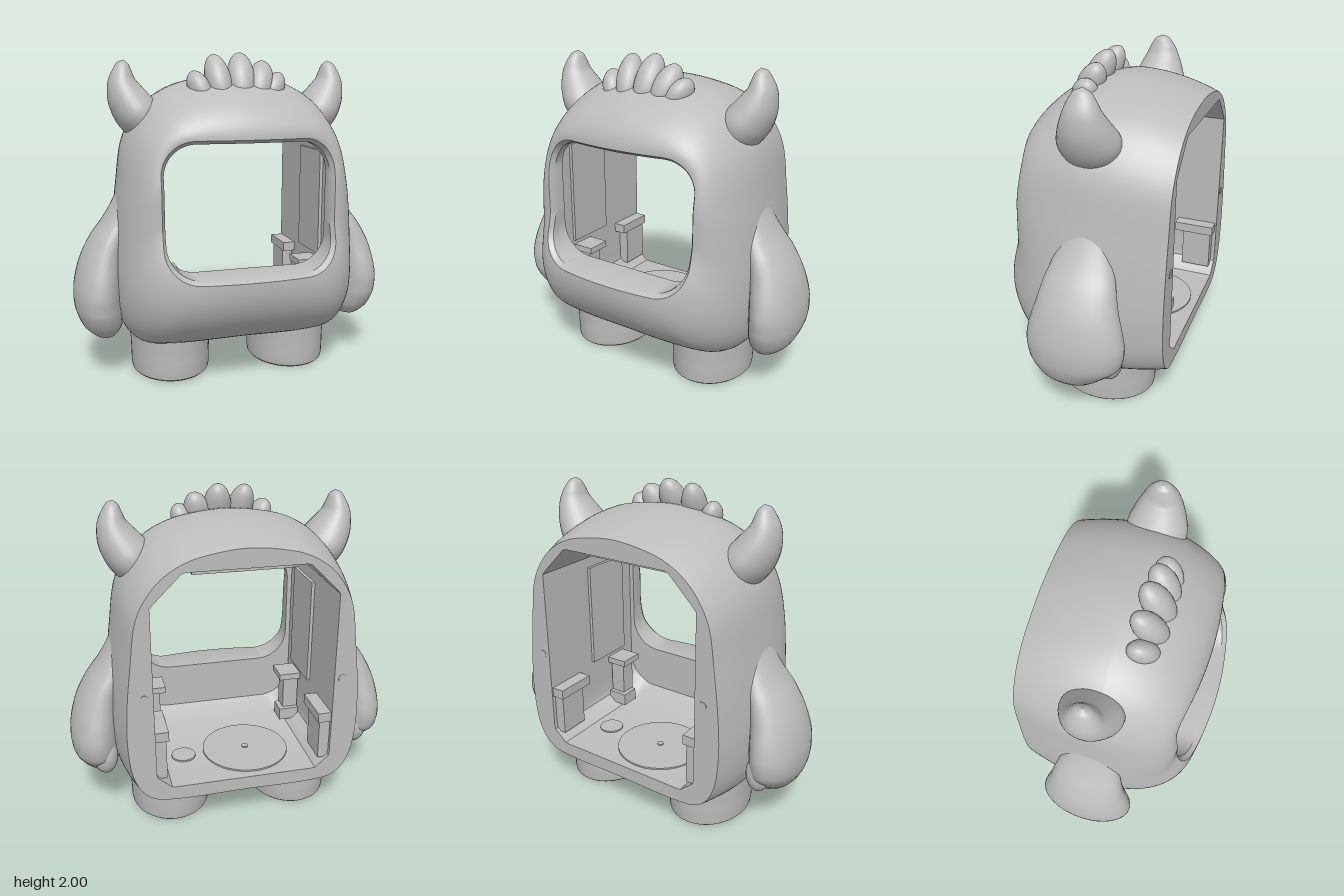
import * as THREE from 'three';
import { toCreasedNormals } from 'three/addons/utils/BufferGeometryUtils.js';

const N = 160;
const V = (x, y, z = 0) => new THREE.Vector3(x, y, z);

// Skin a list of closed loops (arrays of Vector3)
function loft(loops, flip = false) {
  const n = loops[0].length, pos = [], idx = [];
  loops.forEach(l => l.forEach(p => pos.push(p.x, p.y, p.z)));
  for (let i = 0; i < loops.length - 1; i++) {
    for (let j = 0; j < n; j++) {
      const k = (j + 1) % n;
      const a = i * n + j, b = i * n + k, c = a + n, d = b + n;
      if (flip) idx.push(a, c, b, b, c, d);
      else idx.push(a, b, c, b, d, c);
    }
  }
  const g = new THREE.BufferGeometry();
  g.setAttribute('position', new THREE.Float32BufferAttribute(pos, 3));
  g.setIndex(idx);
  g.computeVertexNormals();
  return g;
}

// Elliptical sweep; rows are [x, y, z, radius in the xy plane, radius in z]
function sweep(rows, tilt, side) {
  const path = new THREE.CatmullRomCurve3(rows.map(r => V(r[0], r[1], r[2])));
  const size = new THREE.CatmullRomCurve3(rows.map(r => V(r[3], r[4], 0)));
  const loops = [], steps = rows.length * 5;
  for (let i = 0; i <= steps; i++) {
    const c = path.getPoint(i / steps), s = size.getPoint(i / steps);
    const d = tilt ? path.getTangent(i / steps) : V(0, 1);
    loops.push(Array.from({ length: 32 }, (_, j) => {
      const a = j / 32 * Math.PI * 2, u = Math.max(s.x, 0) * Math.cos(a);
      return V(side * (c.x + d.y * u), c.y - d.x * u, c.z - Math.max(s.y, 0) * Math.sin(a));
    }));
  }
  return loft(loops, side < 0);
}

// Closed loops, clockwise from the top centre
const mirrored = half => half.concat(half.slice(1, -1).reverse().map(([x, y]) => [-x, y]));
const sample = curve => curve.getSpacedPoints(N).slice(0, N);
function roundedRect(w, y0, y1, r) {
  const p = new THREE.Path();
  p.moveTo(0, y1);
  p.lineTo(w - r, y1);
  p.absarc(w - r, y1 - r, r, Math.PI / 2, 0, true);
  p.absarc(w - r, y0 + r, r, 0, -Math.PI / 2, true);
  p.absarc(-w + r, y0 + r, r, -Math.PI / 2, -Math.PI, true);
  p.absarc(-w + r, y1 - r, r, Math.PI, Math.PI / 2, true);
  p.lineTo(0, y1);
  return sample(p);
}

function bodyGeometry() {
  const { smoothstep } = THREE.MathUtils;
  const outline = sample(new THREE.CatmullRomCurve3(mirrored([
    [0, 1.87], [0.2, 1.85], [0.36, 1.81], [0.5, 1.73], [0.6, 1.62], [0.67, 1.48], [0.715, 1.2],
    [0.75, 0.9], [0.76, 0.65], [0.735, 0.42], [0.68, 0.3], [0.6, 0.235], [0.42, 0.212], [0, 0.215],
  ]).map(([x, y]) => V(x, y)), true));
  const hole = mirrored([[0, 1.66], [0.35, 1.66], [0.53, 1.48], [0.53, 0.43], [0.44, 0.35], [0, 0.35]]);
  hole.push(hole[0]);
  const opening = sample(new THREE.Path(hole.map(([x, y]) => new THREE.Vector2(x, y))));
  const rim = roundedRect(0.52, 0.71, 1.51, 0.2);
  const throat = roundedRect(0.5, 0.73, 1.49, 0.19);
  const cavity = roundedRect(0.53, 0.44, 1.55, 0.2);
  const at = (pts, z) => pts.map(p => V(p.x, p.y, z));
  const brow = p => smoothstep(p.y, 1.2, 1.5);
  const rimZ = p => 0.47 + 0.07 * smoothstep(1.05 - p.y, 0, 0.34) - 0.04 * brow(p) - 0.26 * p.x * p.x;
  const loops = [at(throat, 0.29)];
  loops.push(throat.map((p, j) => V(p.x, p.y, rimZ(rim[j]) - 0.03)));
  // Bulging front, from window rim to widest outline
  for (let i = 0; i <= 22; i++) {
    const a = i / 22 * Math.PI / 2, f = Math.sin(a), h = Math.max(Math.cos(a), 0);
    loops.push(rim.map((p, j) => V(
      p.x + (outline[j].x - p.x) * f,
      p.y + (outline[j].y - p.y) * f,
      -0.05 + (rimZ(p) + 0.05) * h ** (1 + 0.4 * brow(p)))));
  }
  // Gentle taper to the flat back
  for (let i = 1; i <= 10; i++) {
    const t = i / 10, q = t * t;
    loops.push(outline.map(p => V(
      p.x * (1 - 0.095 * q), p.y + (0.27 + (p.y - 0.22) * 0.909 - p.y) * q, -0.05 - 0.49 * t)));
  }
  // Back edge, hollow inside (deeper near the ceiling), window wall
  loops.push(at(opening, -0.54));
  loops.push(opening.map(p => V(p.x, p.y, 0.14 + 0.08 * smoothstep(p.y, 0.5, 1.2))));
  loops.push(at(cavity, 0.29), at(throat, 0.29));
  return toCreasedNormals(loft(loops), 0.6);
}

export function createModel() {
  const model = new THREE.Group();
  const grey = new THREE.MeshStandardMaterial({ color: 0xbcbcbc });
  grey.name = 'plain grey';
  const add = (name, geometry, x = 0, y = 0, z = 0) => {
    const m = new THREE.Mesh(geometry, grey);
    m.name = name;
    m.position.set(x, y, z);
    model.add(m);
    return m;
  };
  const box = (name, w, h, d, x, y, z) => add(name, new THREE.BoxGeometry(w, h, d), x, y, z);

  add('bodyShell', bodyGeometry());

  const armRows = [
    [0.81, 0.272, -0.05, 0, 0], [0.815, 0.285, -0.05, 0.065, 0.11], [0.83, 0.35, -0.05, 0.12, 0.19],
    [0.847, 0.46, -0.08, 0.148, 0.275], [0.85, 0.56, -0.085, 0.15, 0.29], [0.84, 0.66, -0.085, 0.145, 0.275],
    [0.815, 0.78, -0.085, 0.133, 0.24], [0.77, 0.9, -0.085, 0.113, 0.21], [0.71, 1.01, -0.085, 0.093, 0.175],
    [0.68, 1.12, -0.085, 0.058, 0.13], [0.65, 1.25, -0.085, 0.03, 0.07],
  ];
  const hornRows = [
    [0.51, 1.575, -0.075, 0.13, 0.17], [0.58, 1.645, -0.075, 0.132, 0.178], [0.635, 1.735, -0.075, 0.117, 0.148],
    [0.66, 1.82, -0.075, 0.088, 0.11], [0.658, 1.89, -0.075, 0.058, 0.077], [0.652, 1.935, -0.075, 0.034, 0.044],
    [0.648, 1.955, -0.075, 0, 0],
  ];
  const legProfile = [[0, 0], [0.92, 0], [0.965, 0.012], [0.98, 0.04], [0.985, 0.12], [0.99, 0.19], [1.01, 0.25],
    [1.01, 0.33]].map(([r, y]) => new THREE.Vector2(r, y));

  for (const s of [1, -1]) {
    const side = s > 0 ? 'left' : 'right';
    add(side + 'Arm', sweep(armRows, false, s));
    const thumb = add(side + 'Thumb', new THREE.SphereGeometry(1, 24, 16), s * 0.805, 0.46, -0.268);
    thumb.scale.set(0.075, 0.12, 0.08);
    add(side + 'Horn', sweep(hornRows, true, s));
    const leg = toCreasedNormals(new THREE.LatheGeometry(legProfile, 48), 0.7);
    add(side + 'Leg', leg.scale(0.255, 1, 0.308), s * 0.397, 0, -0.105);

    // Mounting posts, ledges and wall pads inside the hollow
    box(side + 'Post', 0.1, 0.3, 0.1, s * 0.47, 0.55, 0.1);
    box(side + 'PostTop', 0.14, 0.04, 0.16, s * 0.455, 0.7, 0.1);
    box(side + 'PostFoot', 0.13, 0.08, 0.12, s * 0.455, 0.42, 0.08);
    box(side + 'Ledge', 0.09, 0.06, 0.26, s * 0.495, 0.69, -0.4);
    box(side + 'LedgeSupport', 0.07, 0.27, 0.19, s * 0.5, 0.54, -0.42);
    box(side + 'WallPad', 0.02, 0.66, 0.33, s * 0.52, 1.08, 0.02);
    const screw = add(side + 'ScrewSpot', new THREE.CylinderGeometry(0.025, 0.025, 0.006, 20), s * 0.58, 0.95, -0.54);
    screw.rotation.x = Math.PI / 2;

    box(side + 'CeilingRail', 0.03, 0.05, 0.4, s * 0.27, 1.64, -0.23);
  }

  // Ceiling frame and floor plate
  box('ceilingFrameBack', 0.57, 0.05, 0.03, 0, 1.64, -0.43);
  box('ceilingFrameFront', 0.57, 0.05, 0.03, 0, 1.64, -0.03);
  box('ceilingClip', 0.12, 0.12, 0.04, 0, 1.6, -0.2);
  add('floorPlate', new THREE.CylinderGeometry(0.27, 0.27, 0.016, 48), -0.08, 0.352, -0.22);
  add('floorPin', new THREE.CylinderGeometry(0.02, 0.02, 0.01, 16), -0.08, 0.364, -0.22);
  add('floorBoss', new THREE.CylinderGeometry(0.075, 0.075, 0.016, 32), 0.32, 0.352, -0.22);

  // Hair tuft: x, tip height, width, lean
  const tufts = [[-0.23, 1.893, 0.064, 0.35], [-0.115, 1.99, 0.076, 0.12], [0.025, 2.0, 0.084, -0.05],
    [0.145, 1.955, 0.08, -0.25], [0.23, 1.888, 0.066, -0.5]];
  tufts.forEach(([x, top, w, lean], i) => {
    const h = (top - 1.67) / 2;
    const m = add('hairTuft' + (i + 1), new THREE.SphereGeometry(1, 24, 18), x, top - h * 0.92, 0.095);
    m.scale.set(w, h, 0.08);
    m.rotation.set(-0.5, 0, lean);
  });
  return model;
}
